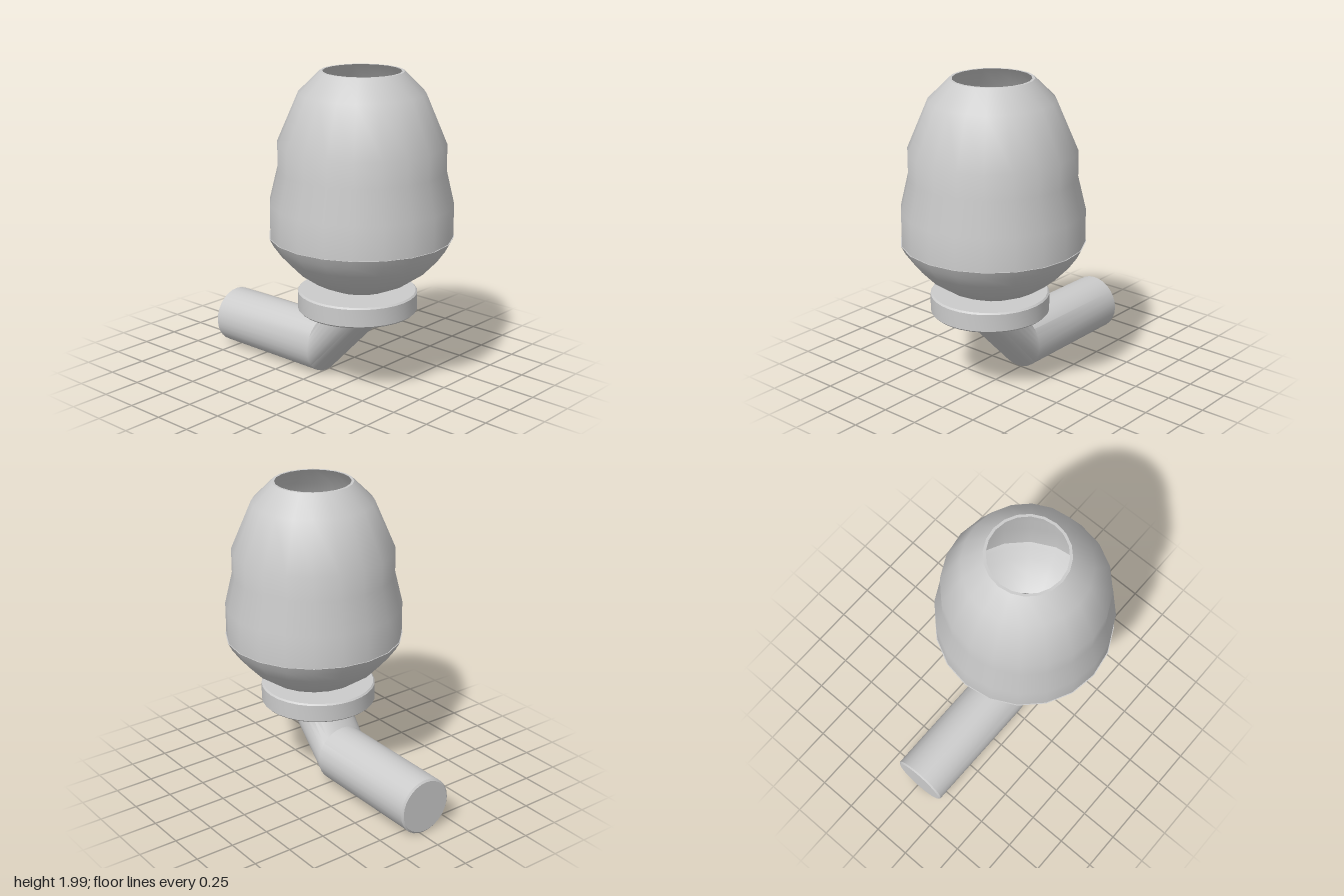
import * as THREE from 'three';
import { toCreasedNormals } from 'three/addons/utils/BufferGeometryUtils.js';

const CX = 0.265; // lamp axis
const material = new THREE.MeshStandardMaterial({ color: 0xcccccc, side: THREE.DoubleSide });

// Turned part around the lamp axis, from [radius, height] pairs
function turned(name, profile, segments, z = 0, crease = 0.6) {
  const points = profile.map(([r, y]) => new THREE.Vector2(r, y));
  const geometry = toCreasedNormals(new THREE.LatheGeometry(points, segments), crease);
  const mesh = new THREE.Mesh(geometry, material);
  mesh.name = name;
  mesh.position.set(CX, 0, z);
  return mesh;
}

// Tube skinned over elliptical rings: centre [x, y], half axis [ux, uy] in the xy plane, half width in z
function skinned(name, rings, z, sides = 28) {
  const position = [];
  const index = [];
  rings.forEach(({ c, u, w }) => {
    for (let i = 0; i < sides; i++) {
      const a = (i / sides) * Math.PI * 2;
      position.push(c[0] + u[0] * Math.cos(a), c[1] + u[1] * Math.cos(a), z + w * Math.sin(a));
    }
  });
  for (let r = 0; r < rings.length - 1; r++) {
    for (let i = 0; i < sides; i++) {
      const j = (i + 1) % sides;
      const a = r * sides + i, b = r * sides + j;
      index.push(a, b, a + sides, b, b + sides, a + sides);
    }
  }
  const geometry = new THREE.BufferGeometry();
  geometry.setAttribute('position', new THREE.Float32BufferAttribute(position, 3));
  geometry.setIndex(index);
  const mesh = new THREE.Mesh(toCreasedNormals(geometry, 0.6), material);
  mesh.name = name;
  return mesh;
}

export function createModel() {
  const group = new THREE.Group();
  group.name = 'wallLamp';

  // Thin-walled shade, open at the top
  const shade = [[0.57, 0.98], [0.57, 1.19], [0.52, 1.4], [0.52, 1.56], [0.388, 1.87], [0.257, 2]];
  const shadeInside = shade.map(([r, y]) => [r - 0.017, y]).reverse();
  group.add(turned('shade', [...shade, ...shadeInside, shade[0]], 20));

  // Bowl closing the bottom of the shade
  const bowl = [[0, 0.62], [0.1, 0.625], [0.2, 0.645], [0.31, 0.695], [0.41, 0.765], [0.5, 0.86], [0.55, 0.93], [0.576, 0.98]];
  const bowlInside = bowl.map(([r, y]) => [r * 0.97, Math.min(y + 0.015, 0.98)]).reverse();
  group.add(turned('bowl', [...bowl, ...bowlInside], 20));

  // Bulb standing inside
  group.add(turned('bulb', [[0.07, 0.63], [0.07, 0.85], [0.11, 0.95], [0.13, 1.05], [0.12, 1.14],
    [0.09, 1.22], [0.05, 1.27], [0, 1.285]], 24, 0, 0.9));

  // Round mounting disc with softened edges
  group.add(turned('mountingDisc', [[0, 0.5], [0.365, 0.5], [0.375, 0.51], [0.375, 0.62], [0.365, 0.63], [0, 0.63]], 32, 0.03));

  // Bent arm: closed wall end, level pipe, mitred elbow, slanted neck
  group.add(skinned('arm', [
    { c: [-0.845, 0.19], u: [0, 0.0001], w: 0.0001 },
    { c: [-0.845, 0.19], u: [0, 0.172], w: 0.172 },
    { c: [-0.835, 0.19], u: [0, 0.184], w: 0.184 },
    { c: [0, 0.193], u: [0, 0.187], w: 0.187 },
    { c: [0.27, 0.49], u: [-0.2, 0], w: 0.196 },
    { c: [0.275, 0.505], u: [-0.21, 0], w: 0.198 },
  ], 0.028));

  // Settle the arm exactly on the ground
  const low = new THREE.Box3().setFromObject(group).min.y;
  group.children.forEach((part) => { part.position.y -= low; });
  return group;
}
